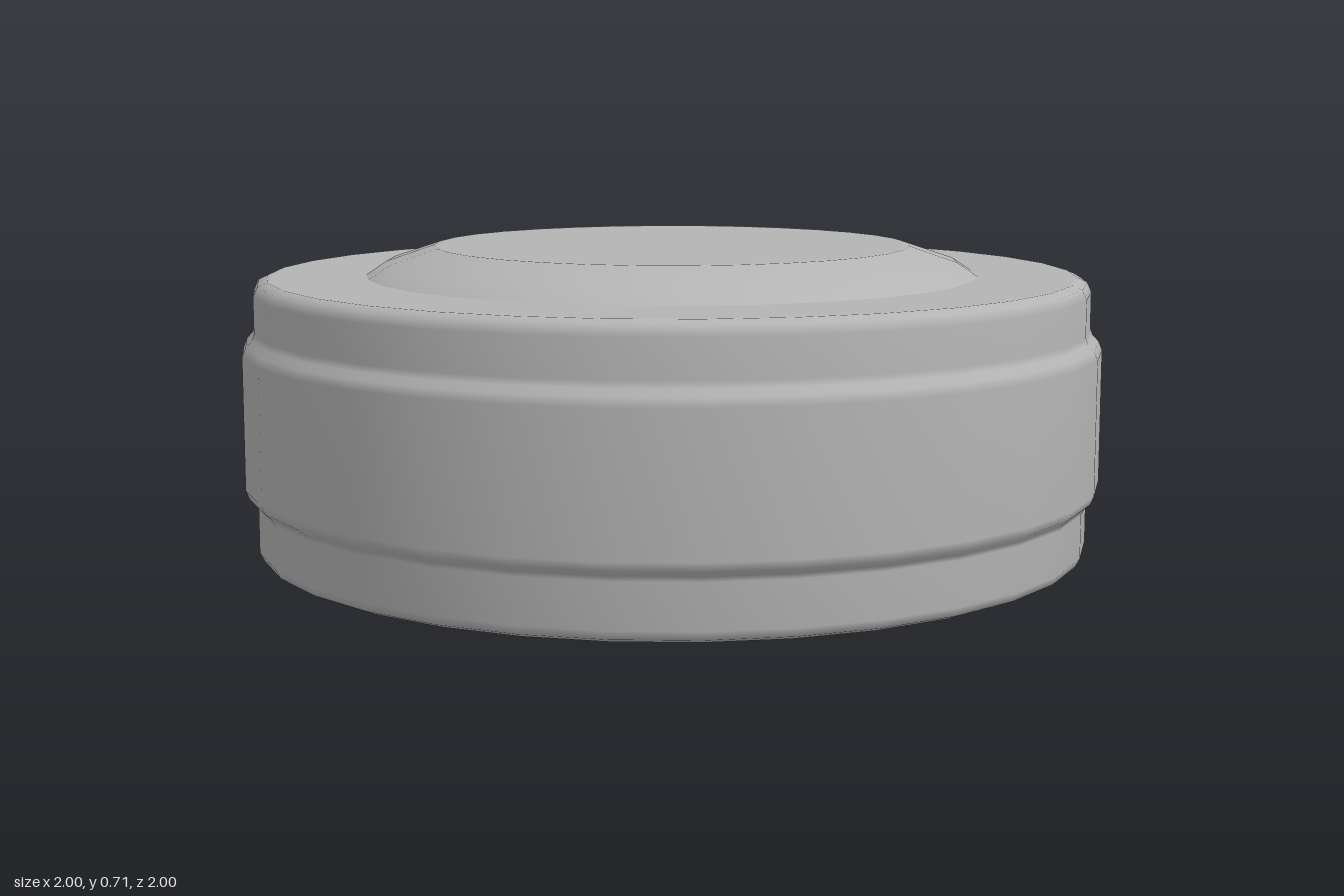
import * as THREE from 'three';

const SIDES = 32;

// Revolved part from [radius, height] pairs, listed bottom to top
function revolve(name, profile, material) {
  const points = profile.map(([r, y]) => new THREE.Vector2(r, y));
  const mesh = new THREE.Mesh(new THREE.LatheGeometry(points, SIDES), material);
  mesh.name = name;
  return mesh;
}

export function createModel() {
  const grey = new THREE.MeshStandardMaterial({ color: 0xb4b4b4 });
  grey.name = 'grey';

  const model = new THREE.Group();
  model.name = 'roundTin';

  // Drum with rounded rims and a raised middle band
  model.add(revolve('body', [
    [0, 0], [0.93, 0], [0.94, 0], [0.962, 0.01], [0.972, 0.03],
    [0.972, 0.13], [0.978, 0.142], [0.992, 0.155], [1, 0.175],
    [1, 0.48], [0.992, 0.5], [0.978, 0.515], [0.972, 0.53],
    [0.972, 0.615], [0.962, 0.637], [0.94, 0.647], [0.93, 0.647], [0, 0.647],
  ], grey));

  // Shallow raised cap with a flat centre
  model.add(revolve('cap', [
    [0.715, 0.645], [0.665, 0.678], [0.555, 0.715], [0.54, 0.715], [0, 0.715],
  ], grey));

  return model;
}
